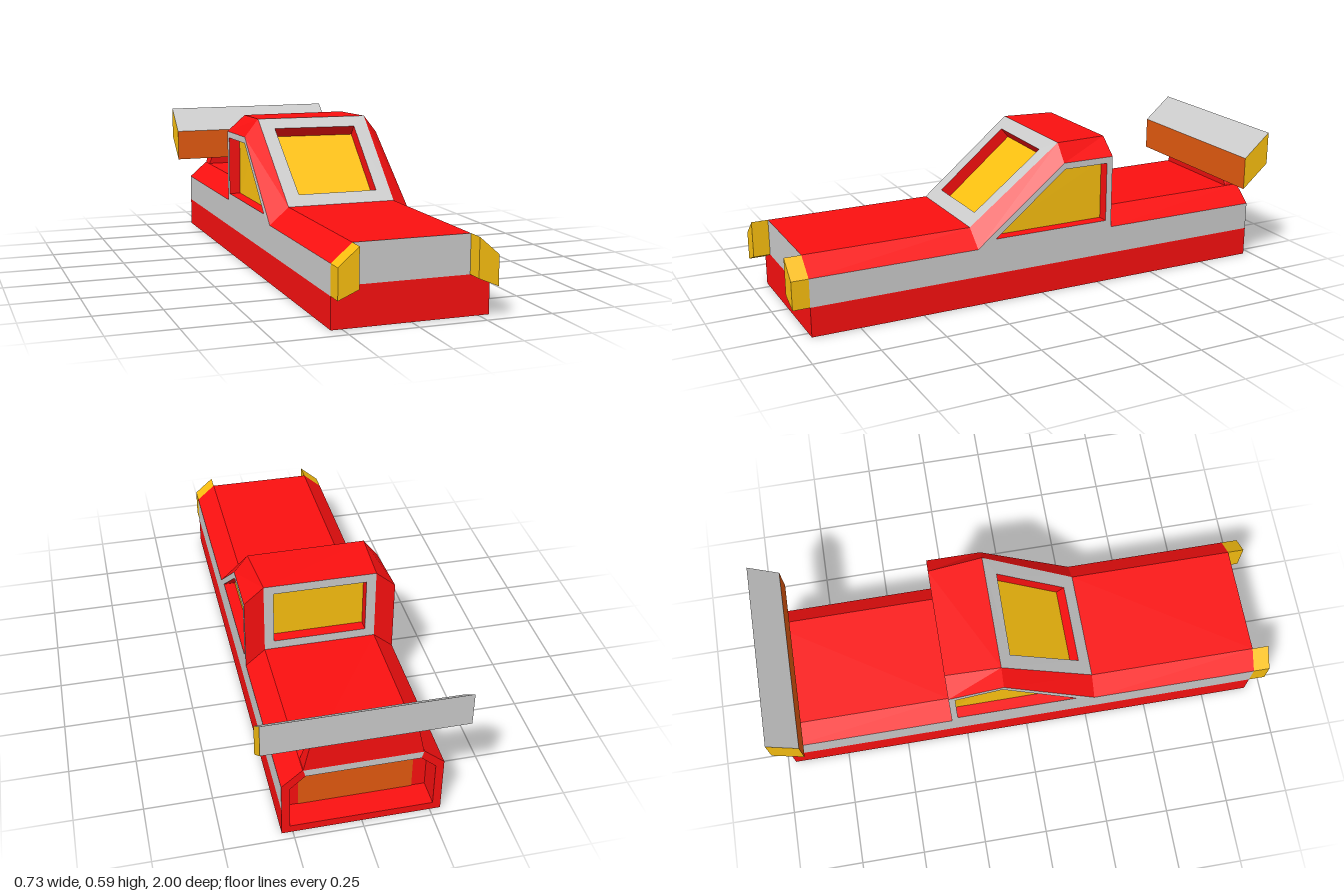
import * as THREE from 'three';

const paint = (color) => new THREE.MeshStandardMaterial({ color, flatShading: true });
const grey = paint(0xcccccc), red = paint(0xfa1010), yellow = paint(0xfac010), orange = paint(0xe45a10);

// Flat convex polygons, corners counter-clockwise from outside
function faces(name, material, polygons) {
  const pos = [];
  for (const p of polygons)
    for (let i = 1; i < p.length - 1; i++) pos.push(...p[0], ...p[i], ...p[i + 1]);
  const geo = new THREE.BufferGeometry();
  geo.setAttribute('position', new THREE.Float32BufferAttribute(pos, 3));
  geo.computeVertexNormals();
  const mesh = new THREE.Mesh(geo, material);
  mesh.name = name;
  return mesh;
}

// Polygon on the left (s = 1) or mirrored to the right (s = -1)
function mirror(s, pts) {
  const out = pts.map(([x, y, z]) => [s * x, y, z]);
  return s < 0 ? out.reverse() : out;
}

// Frame around an opening, with recessed walls and a pane at the bottom
function recess(name, outer, inner, offset, frameMat, paneMat) {
  const deep = inner.map((p) => p.map((v, k) => v + offset[k]));
  const ring = (a, b) => a.map((_, i) => {
    const j = (i + 1) % a.length;
    return [a[i], a[j], b[j], b[i]];
  });
  const group = new THREE.Group();
  group.name = name;
  group.add(
    faces(name + 'Frame', frameMat, ring(outer, inner)),
    faces(name + 'Reveal', red, ring(inner, deep)),
    faces(name + 'Pane', paneMat, [deep]));
  return group;
}

const W = 0.29, D = 0.215;            // half widths of body and deck
const SH = 0.225, DH = 0.29;          // shoulder and deck heights
const F = 0.935, B = -0.97;           // front and back of body
const CF = 0.275, CT = -0.09, CB = -0.305; // cabin: windscreen foot, roof front, back

function addBody(model) {
  const lower = [[[-W, 0, B], [W, 0, B], [W, 0, F], [-W, 0, F]]];
  const band = [], deck = [];
  for (const s of [1, -1]) {
    const strip = (y0, y1) => mirror(s, [[W, y0, F], [W, y0, B], [W, y1, B], [W, y1, F]]);
    lower.push(strip(0, 0.115));
    band.push(strip(0.115, SH));
  }
  lower.push([[-W, 0, F], [W, 0, F], [W, 0.115, F], [D, 0.147, F], [-D, 0.147, F], [-W, 0.115, F]]);
  // Bonnet and rear deck, each with sloping shoulders
  for (const [z0, z1] of [[CF, F], [B, CB]]) {
    deck.push([[-D, DH, z1], [D, DH, z1], [D, DH, z0], [-D, DH, z0]]);
    for (const s of [1, -1])
      deck.push(mirror(s, [[W, SH, z1], [W, SH, z0], [D, DH, z0], [D, DH, z1]]));
  }
  model.add(
    faces('lowerBody', red, lower),
    faces('sideBands', grey, band),
    faces('deck', red, deck),
    faces('noseePanel'.replace('ee', 'e'), grey, [[[-D, 0.147, F], [D, 0.147, F], [D, DH, F], [-D, DH, F]]]));

  // Open tail with a panel set deep inside
  const tail = [[W, 0], [-W, 0], [-W, SH], [-D, DH], [D, DH], [W, SH]];
  const hole = [[0.26, 0.03], [-0.26, 0.03], [-0.26, 0.21], [-0.205, 0.26], [0.205, 0.26], [0.26, 0.21]];
  const atBack = (pts, z) => pts.map(([x, y]) => [x, y, z]);
  model.add(
    recess('tail', atBack(tail, B), atBack(hole, B), [0, 0, 0.1], red, red),
    faces('tailPanel', orange, [atBack([[0.21, 0.03], [-0.21, 0.03], [-0.21, 0.255], [0.21, 0.255]], B + 0.098)]),
    faces('tailStrip', grey, [atBack([[0.205, 0.261], [-0.205, 0.261], [-0.213, 0.289], [0.213, 0.289]], B - 0.001)]));
}

function addHeadlights(model) {
  const section = [[W, 0.115], [W, SH], [D, DH], [D, 0.147]];
  for (const s of [1, -1]) {
    const shape = new THREE.Shape(section.map(([x, y]) => new THREE.Vector2(s * x, y)));
    const geo = new THREE.ExtrudeGeometry(shape, { depth: 1 - F, bevelEnabled: false });
    const lamp = new THREE.Mesh(geo.translate(0, 0, F), yellow);
    lamp.name = s > 0 ? 'leftHeadlight' : 'rightHeadlight';
    model.add(lamp);
  }
}

function addCabin(model) {
  const shell = [[[-0.222, 0.586, CT], [0.235, 0.583, CT], [D, 0.58, CB], [-D, 0.58, CB]]];
  for (const s of [1, -1]) {
    // The two front roof corners differ slightly
    const tx = s > 0 ? 0.235 : 0.222, ty = s > 0 ? 0.583 : 0.586, sx = s > 0 ? 0.289 : 0.278;
    shell.push(
      mirror(s, [[W, SH, CF], [sx, 0.515, CT], [tx, ty, CT], [D, DH, CF]]),
      mirror(s, [[sx, 0.515, CT], [W, 0.515, CB], [D, 0.58, CB], [tx, ty, CT]]),
      mirror(s, [[W, SH, CB], [D, DH, CB], [D, 0.58, CB], [W, 0.515, CB]]));
    model.add(recess(s > 0 ? 'leftWindow' : 'rightWindow',
      mirror(s, [[W, SH, CF], [W, SH, CB], [W, 0.515, CB], [sx, 0.515, CT]]),
      mirror(s, [[W, 0.255, 0.2], [W, 0.255, -0.28], [W, 0.49, -0.28], [sx, 0.49, -0.095]]),
      [-s * 0.045, 0, 0], grey, yellow));
  }
  model.add(faces('cabinShell', red, shell));

  // Windscreen, set in along the slope's normal
  const slope = ([x, y]) => [x, y, CF - (y - DH) * (CF - CT) / 0.295];
  model.add(recess('windscreen',
    [[-D, DH, CF], [D, DH, CF], [0.235, 0.583, CT], [-0.222, 0.586, CT]],
    [[-0.158, 0.327], [0.16, 0.327], [0.173, 0.547], [-0.165, 0.55]].map(slope),
    [0, -0.037, -0.03], grey, yellow));

  const atBack = ([x, y]) => [x, y, CB];
  model.add(recess('rearWindow',
    [[D, DH], [-D, DH], [-D, 0.58], [D, 0.58]].map(atBack),
    [[0.178, 0.325], [-0.178, 0.325], [-0.178, 0.545], [0.178, 0.545]].map(atBack),
    [0, 0, 0.045], grey, yellow));
}

function addSpoiler(model) {
  // Quads spanning the width between successive [y, z] points
  const span = (a, b, wa, wb = wa) => [[-wa, ...a], [wa, ...a], [wb, ...b], [-wb, ...b]];
  const fl = [0.32, -0.89], fu = [0.45, -0.89], bu = [0.545, -1], bl = [0.415, -1], w = 0.365;
  model.add(
    faces('spoilerFront', orange, [span(fl, fu, w)]),
    faces('spoilerTopAndBack', grey, [span(fu, bu, w), span(bu, bl, w)]),
    faces('spoilerUnderside', red, [span(bl, fl, w)]),
    faces('spoilerEnds', yellow, [1, -1].map((s) =>
      mirror(s, [fl, bl, bu, fu].map((p) => [w, ...p])))));

  // Wide pylon carrying the spoiler
  const p0 = [DH, -0.912], p1 = [0.345, -0.905], p2 = [0.395, B], p3 = [DH, B], wb = 0.213, wt = 0.19;
  model.add(faces('spoilerPylon', red, [
    span(p0, p1, wb, wt), span(p2, p3, wt, wb),
    ...[1, -1].map((s) => mirror(s, [[wb, ...p0], [wb, ...p3], [wt, ...p2], [wt, ...p1]]))]));
}

export function createModel() {
  const model = new THREE.Group();
  model.name = 'car';
  addBody(model);
  addHeadlights(model);
  addCabin(model);
  addSpoiler(model);
  return model;
}
